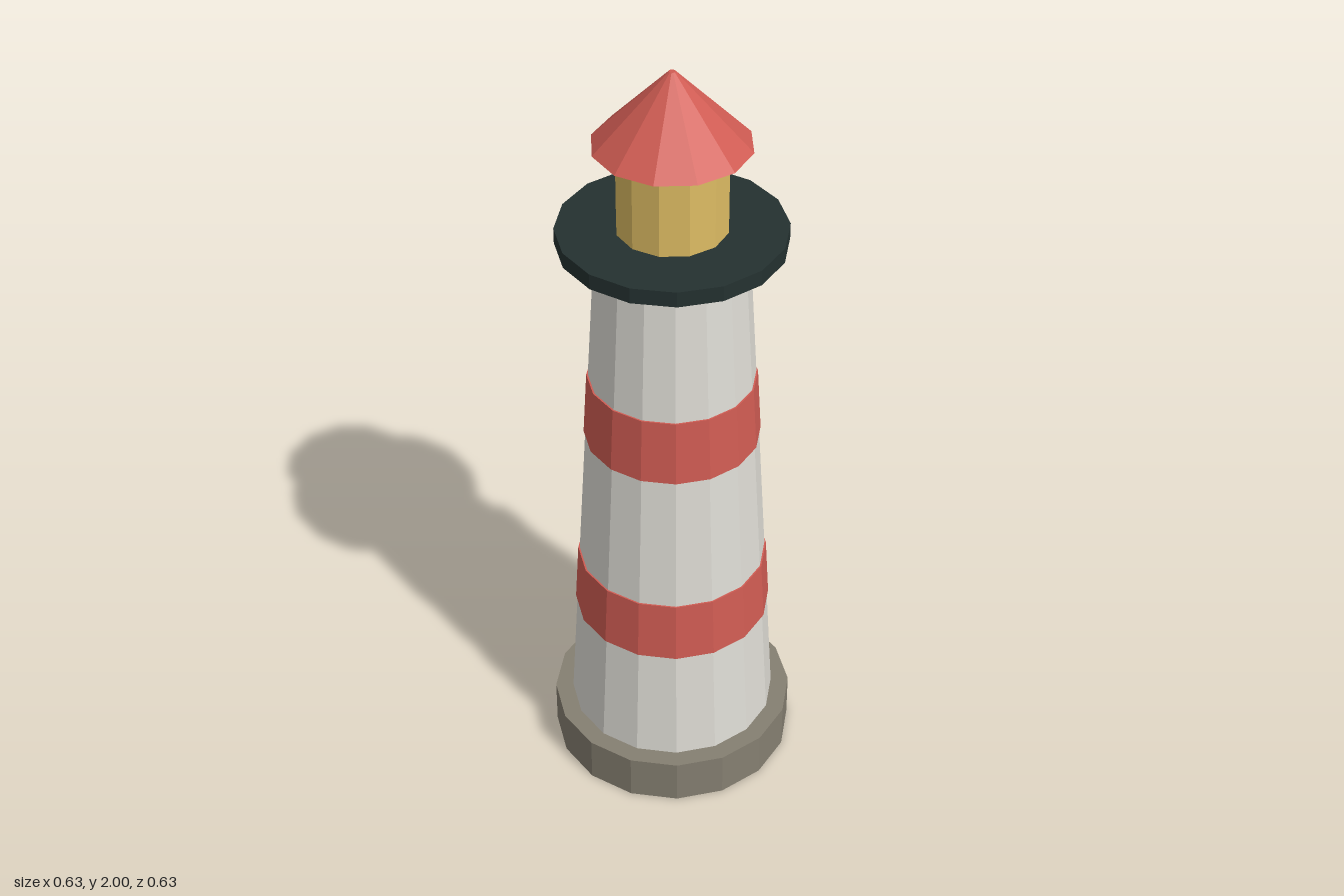
import * as THREE from 'three';

const paint = (name, color) => {
  const m = new THREE.MeshStandardMaterial({ color, flatShading: true });
  m.name = name;
  return m;
};

export function createModel() {
  const model = new THREE.Group();
  model.name = 'lighthouse';

  const white = paint('offWhite', 0xdedcd5);
  const red = paint('red', 0xd05c53);
  const stone = paint('stone', 0x857f71);
  const dark = paint('darkSlate', 0x243130);
  const yellow = paint('lampYellow', 0xddbc63);

  const add = (name, geometry, material, y, z = 0) => {
    const mesh = new THREE.Mesh(geometry, material);
    mesh.name = name;
    mesh.position.set(0, y, z);
    model.add(mesh);
  };

  // Faceted drum standing between two heights
  const drum = (name, y0, y1, r0, r1, sides, material) =>
    add(name, new THREE.CylinderGeometry(r1, r0, y1 - y0, sides), material, (y0 + y1) / 2);

  // Tower taper
  const bottom = 0.125, top = 1.56;
  const radiusAt = (y) => THREE.MathUtils.mapLinear(y, bottom, top, 0.27, 0.183);

  drum('base', 0, bottom, 0.317, 0.317, 16, stone);
  drum('tower', bottom, top, radiusAt(bottom), radiusAt(top), 16, white);

  // Painted bands sit just proud of the tower
  for (const [name, y0, y1] of [['lowerBand', 0.45, 0.617], ['upperBand', 0.998, 1.172]]) {
    drum(name, y0, y1, radiusAt(y0) + 0.004, radiusAt(y1) + 0.004, 16, red);
  }

  // Gallery, lantern room and roof
  drum('gallery', 1.555, 1.595, 0.277, 0.277, 16, dark);
  drum('lantern', 1.595, 1.815, 0.135, 0.135, 12, yellow);
  drum('roof', 1.815, 2, 0.19, 0.008, 12, red);

  // Door and windows on the back
  add('door', new THREE.BoxGeometry(0.106, 0.215, 0.024), dark, 0.238, -0.261);
  add('lowerWindow', new THREE.BoxGeometry(0.045, 0.08, 0.02), dark, 0.62, -0.238);
  add('upperWindow', new THREE.BoxGeometry(0.045, 0.08, 0.02), dark, 1.13, -0.214);

  return model;
}
